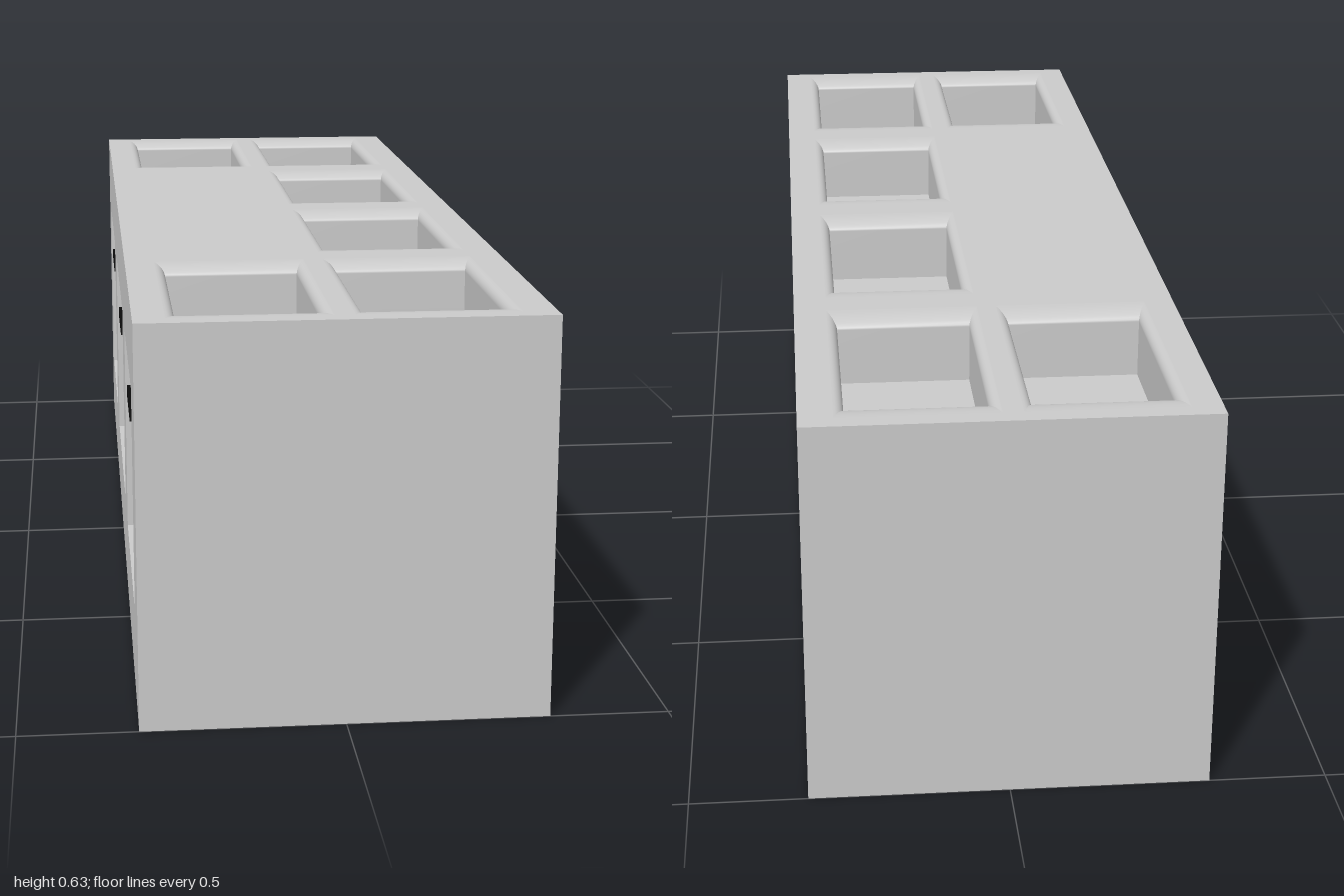
import * as THREE from 'three';

const W = 0.63, H = 0.63, L = 2;
const grey = new THREE.MeshStandardMaterial({ color: 0xcccccc });
const black = new THREE.MeshStandardMaterial({ color: 0x0c0c0c });

function part(name, geometry, material = grey) {
  const m = new THREE.Mesh(geometry, material);
  m.name = name;
  return m;
}

// Corners of a pocket's rectangle, counter-clockwise, grown by a share of its rounding
function corners(p, grow) {
  const w = p.hw + p.rx * grow, h = p.hh + p.ry * grow;
  return [[-1, -1], [1, -1], [1, 1], [-1, 1]].map(([a, b]) => [p.x + a * w, p.y + b * h]);
}

// Four inward walls, with a rounded lip where the pocket has one
function pocketWalls(p) {
  const profile = [];
  const steps = p.lip > 0 ? 8 : 0;
  for (let i = 0; i <= steps; i++) {
    const t = steps ? (i / steps) * Math.PI / 2 : 0;
    profile.push([1 - Math.sin(t), -p.lip * (1 - Math.cos(t))]);
  }
  profile.push([0, -p.depth]);
  const pos = [], index = [];
  for (let k = 0; k < 4; k++) {
    const base = pos.length / 3;
    profile.forEach(([grow, z], i) => {
      const c = corners(p, grow);
      pos.push(...c[k], z, ...c[(k + 1) % 4], z);
      if (i > 0) {
        const a = base + 2 * (i - 1);
        index.push(a, a + 1, a + 3, a, a + 3, a + 2);
      }
    });
  }
  const g = new THREE.BufferGeometry();
  g.setAttribute('position', new THREE.Float32BufferAttribute(pos, 3));
  g.setIndex(index);
  g.computeVertexNormals();
  return g;
}

// Flat outer face (normal +z) with sunken pockets
function face(name, w, h, pockets, pocketName, floorName) {
  const g = new THREE.Group();
  g.name = name;
  const s = new THREE.Shape([[-1, -1], [1, -1], [1, 1], [-1, 1]]
    .map(([a, b]) => new THREE.Vector2(a * w / 2, b * h / 2)));
  for (const p of pockets) {
    s.holes.push(new THREE.Path(corners(p, 1).reverse().map(c => new THREE.Vector2(...c))));
    g.add(part(pocketName, pocketWalls(p)));
    const floor = part(floorName, new THREE.PlaneGeometry(2 * p.hw, 2 * p.hh));
    floor.position.set(p.x, p.y, -p.depth);
    g.add(floor);
  }
  g.add(part(name + 'Surface', new THREE.ShapeGeometry(s)));
  return g;
}

// Pull handle: a bar on two posts, reaching from the drawer front to the outer face
function handle(x, y, depth) {
  const g = new THREE.Group();
  g.name = 'drawerHandle';
  const bar = part('handleBar', new THREE.BoxGeometry(0.17, 0.018, 0.014), black);
  bar.position.z = -0.007;
  g.add(bar);
  for (const side of [-1, 1]) {
    const post = part('handlePost', new THREE.BoxGeometry(0.03, 0.018, depth - 0.014), black);
    post.position.set(side * 0.07, 0, -0.014 - (depth - 0.014) / 2);
    g.add(post);
  }
  g.position.set(x, y, 0);
  return g;
}

export function createModel() {
  const model = new THREE.Group();
  model.name = 'counter';

  // Top with six rounded basins: four along the left, two at the ends of the right
  const basin = (x, z) => ({ x, y: -z, hw: 0.108, hh: 0.17, rx: 0.016, ry: 0.05, lip: 0.016, depth: 0.11 });
  const basins = [-0.75, -0.25, 0.25, 0.75].map(z => basin(0.1375, z));
  basins.push(basin(-0.1425, -0.75), basin(-0.1425, 0.75));
  const top = face('top', W, L, basins, 'basinWalls', 'basinFloor');
  top.rotation.x = -Math.PI / 2;
  top.position.y = H;
  model.add(top);

  // Right side with three recessed drawers
  const depth = 0.04;
  const drawers = [[-0.625, 0.215], [0, 0.256], [0.625, 0.215]]
    .map(([x, hw]) => ({ x, y: 0, hw, hh: 0.178, rx: 0, ry: 0, lip: 0, depth }));
  const drawerSide = face('drawerSide', L, H, drawers, 'drawerRecess', 'drawerFront');
  for (const d of drawers) drawerSide.add(handle(d.x, 0.1, depth));
  drawerSide.rotation.y = -Math.PI / 2;
  drawerSide.position.set(-W / 2, H / 2, 0);
  model.add(drawerSide);

  // Plain sides and base
  const plain = (name, w, h, rx, ry, x, y, z) => {
    const m = part(name, new THREE.PlaneGeometry(w, h));
    m.rotation.set(rx, ry, 0);
    m.position.set(x, y, z);
    model.add(m);
  };
  plain('frontPanel', W, H, 0, 0, 0, H / 2, L / 2);
  plain('backPanel', W, H, 0, Math.PI, 0, H / 2, -L / 2);
  plain('leftPanel', L, H, 0, Math.PI / 2, W / 2, H / 2, 0);
  plain('base', W, L, Math.PI / 2, 0, 0, 0, 0);
  return model;
}
